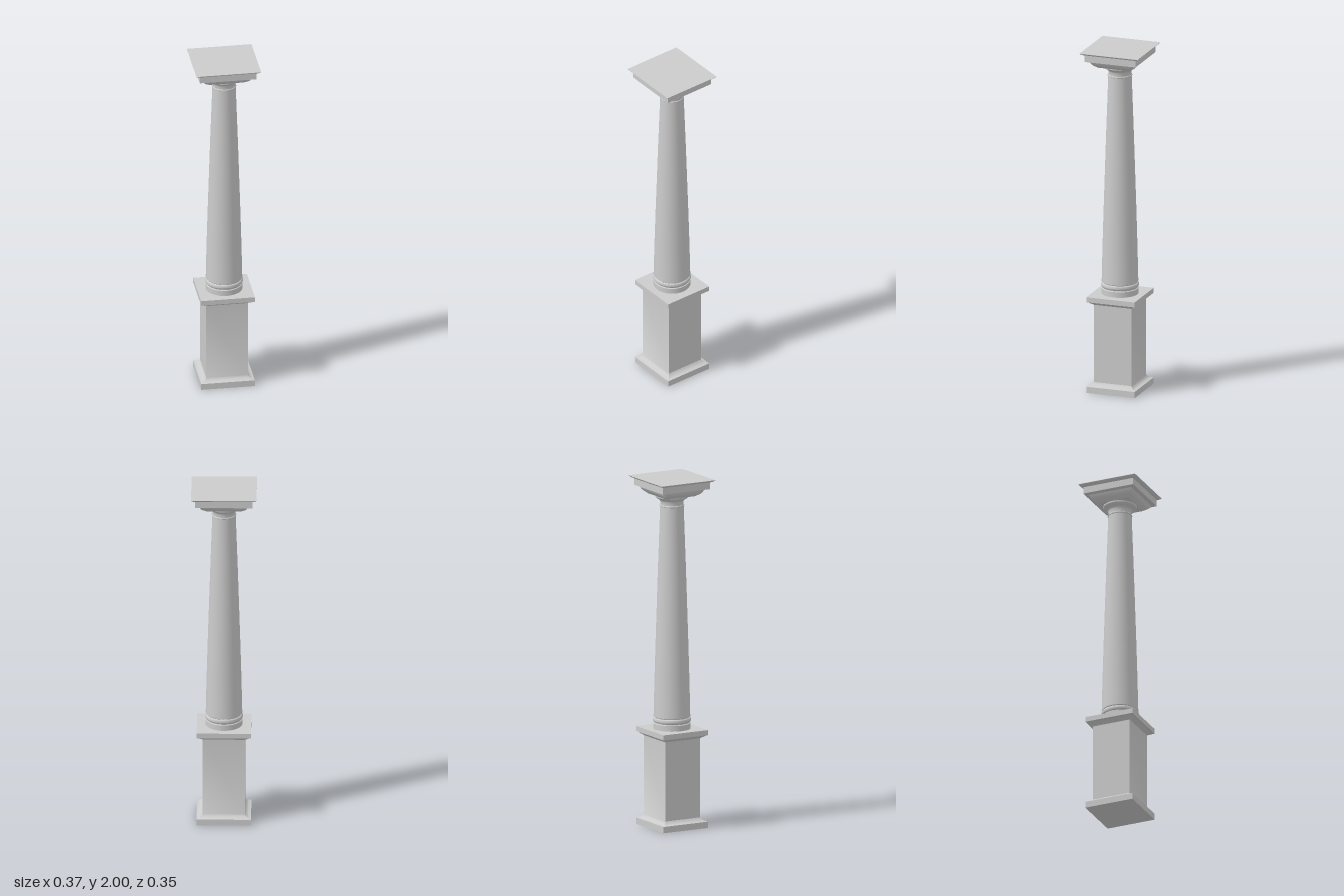
import * as THREE from 'three';
import { toCreasedNormals } from 'three/addons/utils/BufferGeometryUtils.js';

const material = new THREE.MeshStandardMaterial({ color: 0xcccccc });
const DEPTH = 0.948; // square parts are slightly shallower than wide

function addMesh(group, name, geometry, crease) {
  const mesh = new THREE.Mesh(toCreasedNormals(geometry, crease), material);
  mesh.name = name;
  group.add(mesh);
}

const toPoints = (profile, k = 1) => profile.map(([r, y]) => new THREE.Vector2(r * k, y));

// Square moulding: [half width, height] profile swept round four sides
function addSquare(group, name, profile) {
  const geometry = new THREE.LatheGeometry(toPoints(profile, Math.SQRT2), 4, Math.PI / 4);
  geometry.scale(1, 1, DEPTH);
  addMesh(group, name, geometry, 0.6);
}

// Round turned part: [radius, height] profile
function addRound(group, name, profile) {
  addMesh(group, name, new THREE.LatheGeometry(toPoints(profile), 32), 0.6);
}

// Half-round bead between two heights, bulging out from radius r
function bead(r, y0, y1, bulge, steps = 8) {
  return Array.from({ length: steps + 1 }, (_, i) => {
    const a = (i / steps) * Math.PI;
    return [r + bulge * Math.sin(a), (y0 + y1) / 2 - ((y1 - y0) / 2) * Math.cos(a)];
  });
}

export function createModel() {
  const group = new THREE.Group();
  group.name = 'column';

  // Pedestal: foot, plain die and projecting cap
  addSquare(group, 'pedestal', [
    [0, 0], [0.153, 0], [0.153, 0.036], [0.137, 0.041], [0.126, 0.048], [0.119, 0.058],
    [0.119, 0.512], [0.124, 0.517], [0.134, 0.522], [0.143, 0.53], [0.153, 0.533],
    [0.153, 0.562], [0, 0.562],
  ]);

  // Round base with a bead
  addRound(group, 'shaftBase', [
    [0, 0.562], [0.104, 0.562], [0.104, 0.594], [0.099, 0.597],
    ...bead(0.099, 0.6, 0.628, 0.008), [0.103, 0.632], [0.103, 0.637], [0, 0.637],
  ]);

  // Tapering shaft
  addRound(group, 'shaft', [
    [0.103, 0.635], [0.098, 0.85], [0.092, 1.06], [0.085, 1.28], [0.078, 1.5], [0.066, 1.84],
  ]);

  // Neck with a fine ring and a flared bell
  addRound(group, 'capitalNeck', [
    [0.066, 1.838], [0.069, 1.84], [0.069, 1.846], [0.066, 1.849], [0.066, 1.868],
    [0.07, 1.876], [0.078, 1.882], [0.088, 1.887], [0.094, 1.894], [0.095, 1.904], [0, 1.904],
  ]);

  // Square capital: cove, flat band and thin flared top
  addSquare(group, 'capital', [
    [0, 1.902], [0.1, 1.902], [0.106, 1.907], [0.118, 1.915], [0.129, 1.926], [0.138, 1.943],
    [0.162, 1.947], [0.162, 1.986], [0.17, 1.988], [0.184, 1.998], [0.184, 2], [0, 2],
  ]);

  return group;
}
